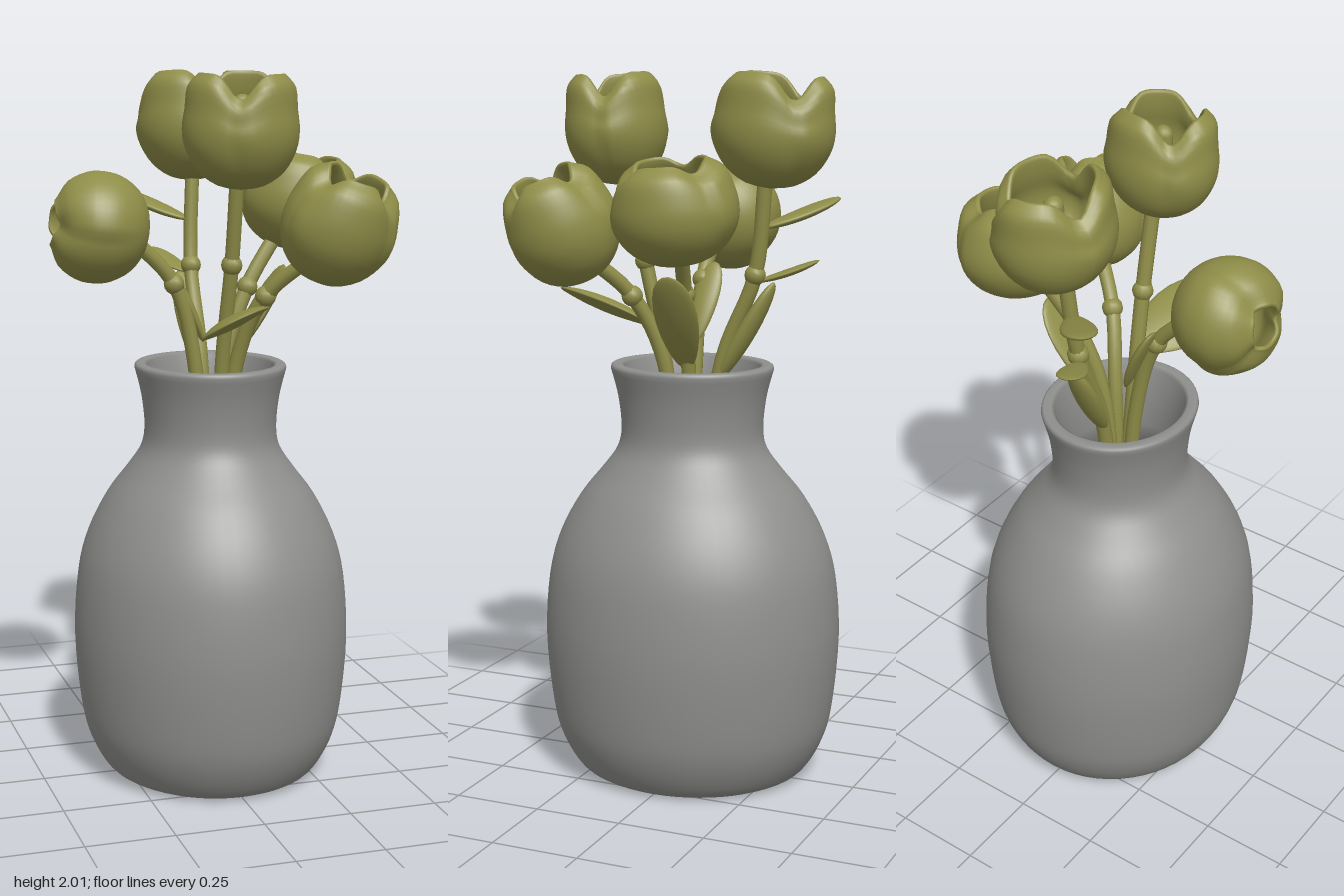
import * as THREE from 'three';
import { mergeVertices } from 'three/addons/utils/BufferGeometryUtils.js';

const V = (a) => new THREE.Vector3(...a);

export function createModel() {
  const root = new THREE.Group();
  root.name = 'vaseOfFlowers';
  const vaseGrey = new THREE.MeshStandardMaterial({ color: 0x8f8f8d });
  vaseGrey.name = 'vase grey';
  const olive = new THREE.MeshStandardMaterial({ color: 0x8f8d48 });
  olive.name = 'plant olive';

  const add = (name, geo, mat, parent = root) => {
    const m = new THREE.Mesh(geo, mat);
    m.name = name;
    parent.add(m);
    return m;
  };
  // Weld a deformed geometry so its normals run smoothly across seams
  const weld = (geo) => {
    geo.deleteAttribute('uv');
    geo.deleteAttribute('normal');
    const g = mergeVertices(geo, 1e-4);
    g.computeVertexNormals();
    return g;
  };
  const deform = (geo, rule) => {
    const p = geo.attributes.position, v = new THREE.Vector3();
    for (let i = 0; i < p.count; i++) {
      rule(v.fromBufferAttribute(p, i));
      p.setXYZ(i, v.x, v.y, v.z);
    }
    return geo;
  };

  // Vase: slightly oval, outer wall up to the rim and inner wall down to the floor
  const vase = new THREE.Group();
  vase.name = 'vase';
  vase.scale.x = 0.91;
  root.add(vase);
  const outer = new THREE.SplineCurve([
    [0.30, 0], [0.34, 0.025], [0.385, 0.1], [0.412, 0.2], [0.43, 0.4], [0.418, 0.58], [0.385, 0.7],
    [0.325, 0.81], [0.26, 0.89], [0.217, 0.95], [0.205, 1.01], [0.214, 1.1], [0.235, 1.18],
  ].map(([x, y]) => new THREE.Vector2(x, y))).getPoints(48);
  const inner = [
    [0.233, 1.188], [0.227, 1.192], [0.205, 1.192], [0.195, 1.185], [0.18, 1.1], [0.172, 1.0],
    [0.19, 0.93], [0.29, 0.79], [0.37, 0.62], [0.39, 0.4], [0.36, 0.15], [0.28, 0.06], [0, 0.05],
  ].map(([x, y]) => new THREE.Vector2(x, y));
  add('vaseBody', new THREE.LatheGeometry([...outer, ...inner], 56), vaseGrey, vase);
  add('vaseBase', new THREE.CircleGeometry(0.30, 56).rotateX(Math.PI / 2), vaseGrey, vase);

  // Blossom: a hollow cup of three overlapping petals with a notched rim
  function blossom(name, center, size, axis, open, notch, phase, pistil) {
    const profile = new THREE.SplineCurve([
      [0, -1], [0.42, -0.92], [0.76, -0.68], [0.95, -0.32], [1, 0.05], [0.96, 0.4],
      [(0.96 + open) / 2 + 0.08, 0.78], [open + 0.06, 0.96], [open, 1], [open - 0.05, 0.94],
      [(0.8 + open) / 2 - 0.05, 0.6], [0.82, 0.2], [0.75, -0.3], [0.4, -0.6], [0, -0.65],
    ].map(([x, y]) => new THREE.Vector2(x, y))).getPoints(42);
    profile.forEach((p) => { p.x = Math.max(p.x, 0); });
    profile[0].x = profile[42].x = 0;
    const geo = deform(new THREE.LatheGeometry(profile, 48), (v) => {
      const t = Math.atan2(v.z, v.x) * 3 + phase;
      const up = THREE.MathUtils.smoothstep(v.y, -0.3, 1);
      const turn = t / (2 * Math.PI);
      const overlap = turn - Math.floor(turn);
      const r = 0.96 + 0.07 * overlap * THREE.MathUtils.smoothstep(v.y, -0.9, 0);
      v.x *= r;
      v.z *= r;
      v.y -= notch * up * Math.pow((1 - Math.cos(t - Math.PI)) / 2, 3);
    });
    const g = new THREE.Group();
    g.name = name;
    g.position.copy(V(center));
    g.quaternion.setFromUnitVectors(new THREE.Vector3(0, 1, 0), V(axis).normalize());
    g.scale.set(...size);
    add('petals', weld(geo), olive, g);
    if (pistil) {
      const bud = add('pistil', new THREE.CapsuleGeometry(0.17, 0.9, 6, 12), olive, g);
      bud.position.y = 0.02;
    }
    root.add(g);
  }
  blossom('frontTallBlossom', [0.02, 1.845, 0.22], [0.16, 0.155, 0.143], [0, 1, 0.05], 0.72, 0.42, 0.6, true);
  blossom('backTallBlossom', [0.02, 1.845, -0.25], [0.155, 0.155, 0.17], [0, 1, -0.08], 0.72, 0.42, 2.2, true);
  blossom('rightSideBlossom', [-0.322, 1.585, 0.025], [0.155, 0.135, 0.155], [-1, 0.12, -0.1], 0.4, 0.12, 1, false);
  blossom('leftBackBlossom', [0.285, 1.635, -0.075], [0.168, 0.14, 0.172], [0.15, 1, 0.06], 0.58, 0.2, 3.2, false);
  blossom('leftFrontBlossom', [0.28, 1.585, 0.26], [0.158, 0.158, 0.155], [0.3, 1, 0.32], 0.55, 0.25, 4.2, false);

  // Stems, each with a small swelling part-way up
  const stems = {
    frontTallStem: [[0.01, 0.5, 0], [0.01, 1.2, 0.08], [0.02, 1.48, 0.135], [0.02, 1.72, 0.18]],
    backTallStem: [[0, 0.5, 0], [0, 1.2, -0.09], [0, 1.45, -0.19], [0.015, 1.72, -0.225]],
    rightSideStem: [[-0.01, 0.5, 0], [-0.05, 1.2, 0.01], [-0.11, 1.42, 0.015], [-0.22, 1.54, 0.02]],
    leftBackStem: [[0.01, 0.5, -0.01], [0.05, 1.2, -0.01], [0.12, 1.4, -0.03], [0.22, 1.55, -0.06]],
    leftFrontStem: [[0.02, 0.5, 0.02], [0.06, 1.2, 0.06], [0.12, 1.39, 0.13], [0.22, 1.5, 0.21]],
  };
  for (const [name, pts] of Object.entries(stems)) {
    const g = new THREE.Group();
    g.name = name;
    root.add(g);
    add('stalk', new THREE.TubeGeometry(new THREE.CatmullRomCurve3(pts.map(V)), 28, 0.021, 10), olive, g);
    const node = add('node', new THREE.SphereGeometry(0.03, 12, 8), olive, g);
    node.position.copy(V(pts[2]));
  }

  // Leaves: flattened, tapered and slightly curled ovals running from base to tip
  function leaf(name, base, tip, side, halfWidth, thick = 0.014) {
    const a = V(base), b = V(tip), half = a.distanceTo(b) / 2;
    const geo = deform(new THREE.SphereGeometry(1, 24, 14), (v) => {
      const x = v.x;
      v.z *= halfWidth * (0.85 + 0.2 * x);
      v.y = v.y * thick + 0.1 * halfWidth * (x * x - 1) + 1.2 * v.z * v.z;
      v.x *= half;
    });
    const X = b.clone().sub(a).normalize();
    const Z = V(side).addScaledVector(X, -V(side).dot(X)).normalize();
    const Y = Z.clone().cross(X);
    const m = new THREE.Matrix4().makeBasis(X, Y, Z).setPosition(a.add(b).multiplyScalar(0.5));
    add(name, weld(geo).applyMatrix4(m), olive);
  }
  leaf('frontLeaf', [0.03, 1.3, 0.11], [-0.06, 1.37, 0.43], [1, 0.45, 0.1], 0.115);
  leaf('backUpperLeaf', [0, 1.58, -0.21], [-0.16, 1.66, -0.38], [0.7, 0, -0.7], 0.055);
  leaf('backLowerLeaf', [-0.01, 1.43, -0.19], [-0.08, 1.49, -0.35], [1, 0, -0.4], 0.045, 0.01);
  leaf('backStemLeaf', [0, 1.14, -0.07], [-0.02, 1.43, -0.24], [1, 0, 0], 0.045, 0.025);
  leaf('leftLeaf', [0.04, 1.18, 0], [0.23, 1.46, -0.03], [0, 0, 1], 0.075, 0.018);
  leaf('rightLeaf', [-0.02, 1.25, 0], [-0.12, 1.47, -0.02], [0, 0, 1], 0.045, 0.015);

  return root;
}
